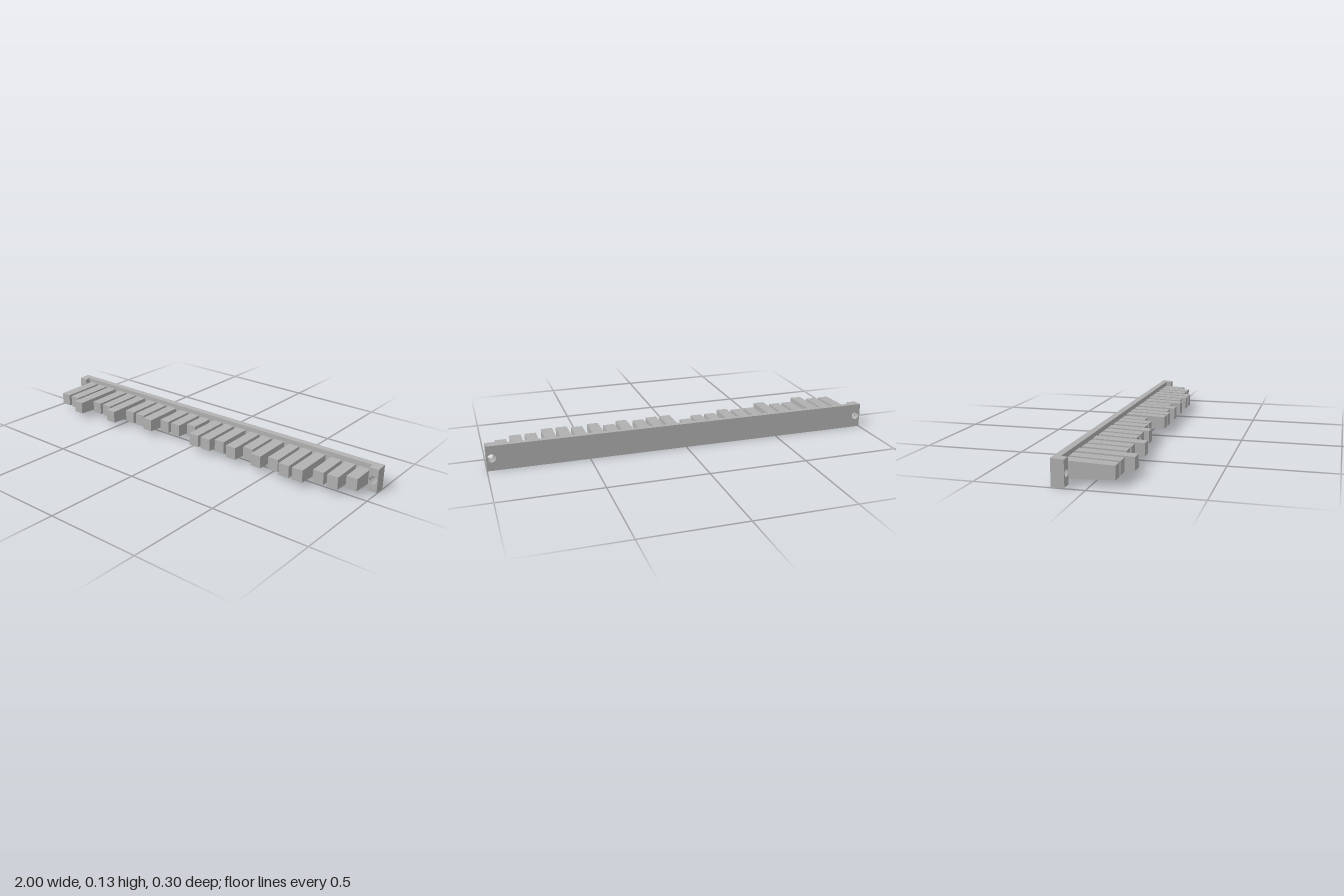
import * as THREE from 'three';

const MID = 0.0635;    // height of the centre line
const BACK = -0.15;    // rear face
const FRONT = -0.119;  // front face of the rail
const TAB = -0.0905;   // front face of the end tabs

const grey = new THREE.MeshStandardMaterial({ color: 0xb0b0b0 });
grey.name = 'grey';

// Half height of the rail, drafted towards the front
const railHalf = (z) => 0.0635 - (z - BACK) * 0.068;

// Upright slab between two x and two z values, with bolt holes and drafted top and bottom
function slab(name, x0, x1, z0, z1, holes) {
  const shape = new THREE.Shape();
  shape.moveTo(x0, -1).lineTo(x1, -1).lineTo(x1, 1).lineTo(x0, 1).closePath();
  for (const x of holes) {
    shape.holes.push(new THREE.Path().absarc(x, 0, 0.021, 0, Math.PI * 2, true));
  }
  const geo = new THREE.ExtrudeGeometry(shape, { depth: z1 - z0, bevelEnabled: false, curveSegments: 16 });
  geo.translate(0, 0, z0);
  const p = geo.attributes.position;
  for (let i = 0; i < p.count; i++) {
    const y = p.getY(i);
    p.setY(i, MID + (Math.abs(y) > 0.5 ? Math.sign(y) * railHalf(p.getZ(i)) : y));
  }
  geo.computeVertexNormals();
  const mesh = new THREE.Mesh(geo, grey);
  mesh.name = name;
  return mesh;
}

// Bar whose tip has a fixed height and whose root thickens with length
function tooth(x, tip) {
  const root = FRONT - 0.005;
  const geo = new THREE.BoxGeometry(0.057, 2, tip - root);
  geo.translate(x, 0, (tip + root) / 2);
  const p = geo.attributes.position;
  for (let i = 0; i < p.count; i++) {
    p.setY(i, MID + p.getY(i) * (0.0315 + (tip - p.getZ(i)) * 0.035));
  }
  geo.computeVertexNormals();
  const mesh = new THREE.Mesh(geo, grey);
  mesh.name = 'tooth';
  return mesh;
}

export function createModel() {
  const model = new THREE.Group();
  model.name = 'toothedRail';

  // Rail and the raised tabs around its bolt holes
  model.add(slab('rail', -1, 1, BACK, FRONT, [-0.975, 0.975]));
  model.add(slab('rightTab', -1, -0.952, FRONT, TAB, [-0.975]));
  model.add(slab('leftTab', 0.952, 1, FRONT, TAB, [0.975]));

  // Eight groups of three teeth, each cut to one of eight length steps
  const steps = [
    [5, 5, 7], [4, 4, 6], [3, 3, 4], [2, 2, 0],
    [4, 4, 3], [4, 2, 4], [3, 4, 4], [2, 2, 0],
  ];
  const teeth = new THREE.Group();
  teeth.name = 'teeth';
  steps.forEach((group, g) => group.forEach((step, i) => {
    teeth.add(tooth(-0.91 + g * 0.2393 + i * 0.0757, 0.0035 + step * 0.021));
  }));
  model.add(teeth);
  return model;
}
